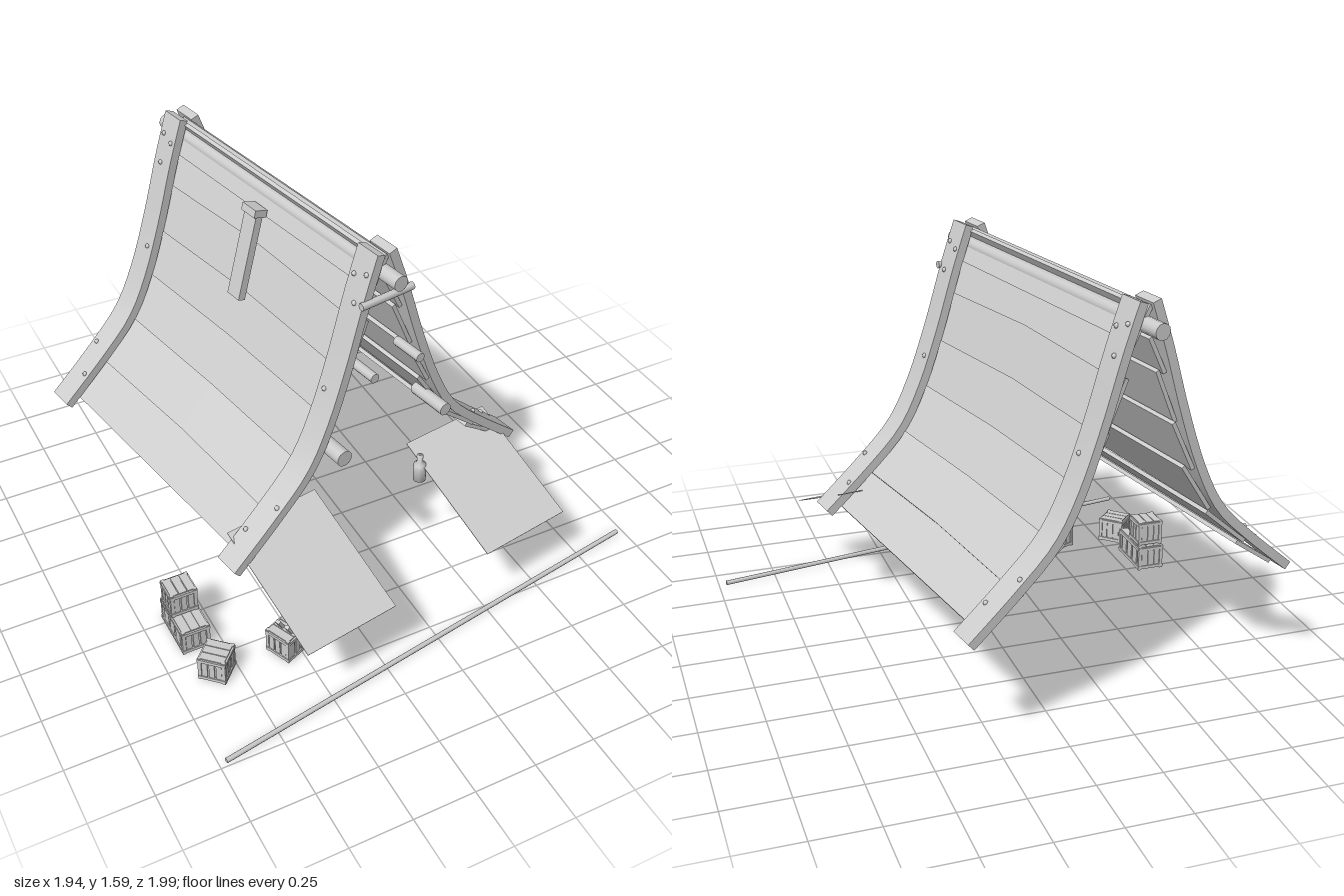
import * as THREE from 'three';
import { toCreasedNormals } from 'three/addons/utils/BufferGeometryUtils.js';

const grey = new THREE.MeshStandardMaterial({ color: 0xcccccc });
grey.name = 'plain grey';

function add(parent, name, geometry, x = 0, y = 0, z = 0) {
  const mesh = new THREE.Mesh(geometry, grey);
  mesh.name = name;
  mesh.position.set(x, y, z);
  parent.add(mesh);
  return mesh;
}
const box = (w, h, d) => new THREE.BoxGeometry(w, h, d);

// Outer line of one swept roof slope, from the ridge down to the eave
const slope = new THREE.SplineCurve([
  [0.042, 1.59], [0.105, 1.41], [0.18, 1.17], [0.262, 0.95], [0.355, 0.78], [0.5, 0.635], [0.685, 0.475],
].map(([x, y]) => new THREE.Vector2(x, y)));

// Point on the slope, sunk inwards by a depth
function slopeAt(t, depth) {
  const p = slope.getPoint(t), d = slope.getTangent(t);
  return new THREE.Vector2(p.x + d.y * depth, p.y - d.x * depth);
}
// Parameter of the slope at a height
function atHeight(y) {
  let a = 0, b = 1;
  for (let i = 0; i < 24; i++) {
    const m = (a + b) / 2;
    if (slope.getPoint(m).y > y) a = m; else b = m;
  }
  return a;
}

// Curved board that caps the end of a slope
function boardGeometry() {
  const outer = [], inner = [];
  for (let i = 0; i <= 20; i++) {
    outer.push(slopeAt(i / 20, 0));
    inner.unshift(slopeAt(i / 20, 0.035));
  }
  const g = new THREE.ExtrudeGeometry(new THREE.Shape([...outer, ...inner]), { depth: 0.11, bevelEnabled: false });
  g.translate(0, 0, -0.055);
  return toCreasedNormals(g, 0.5);
}

// Overlapping plank between two heights, its lower edge bowed in the middle
function addPlank(parent, top, bottom, z0, z1, bow) {
  const a = slopeAt(atHeight(top), 0.062), b = slopeAt(atHeight(bottom), 0.043);
  const dir = b.clone().sub(a), len = dir.length() + 0.015;
  const g = new THREE.BoxGeometry(len, 0.016, z1 - z0, 1, 1, 2);
  const pos = g.attributes.position;
  for (let i = 0; i < pos.count; i++) {
    if (pos.getX(i) > 0 && Math.abs(pos.getZ(i)) < 0.01) pos.setX(i, pos.getX(i) - bow);
  }
  g.computeVertexNormals();
  const m = add(parent, 'roofPlank', toCreasedNormals(g, 0.5), (a.x + b.x) / 2, (a.y + b.y) / 2, (z0 + z1) / 2);
  m.rotation.z = Math.atan2(dir.y, dir.x);
}

function makeSlope(name) {
  const side = new THREE.Group();
  side.name = name;
  const heights = [1.58, 1.46, 1.33, 1.14, 0.96, 0.785, 0.635, 0.515];
  const bows = [0, 0.02, 0.018, 0.012, 0.008, 0.012, 0];
  const ends = [0.63, 0.65, 0.64, 0.665, 0.64, 0.66, 0.645];
  bows.forEach((bow, i) => addPlank(side, heights[i], heights[i + 1], -ends[(i + 3) % 7], ends[i], bow));
  for (const s of [1, -1]) {
    add(side, 'edgeBoard', boardGeometry(), 0, 0, s * 0.627);
    // Nail heads along the edge board
    [[1.51, 0.03], [1.49, -0.03], [1.4, 0.01], [1.06, -0.02], [0.66, 0.03], [0.57, -0.03]].forEach(([y, dz]) => {
      const p = slopeAt(atHeight(y), 0);
      add(side, 'nailHead', new THREE.SphereGeometry(0.01, 8, 6), p.x, p.y, s * (0.627 + dz));
    });
  }
  return side;
}

// Slatted crate with corner posts, standing on its base
function makeCrate(name, w, h, d) {
  const crate = new THREE.Group();
  crate.name = name;
  add(crate, 'crateBody', box(w - 0.014, h - 0.008, d - 0.014), 0, h / 2, 0);
  for (const sx of [1, -1]) {
    for (const sz of [1, -1]) add(crate, 'cornerPost', box(0.014, h, 0.014), sx * (w / 2 - 0.007), h / 2, sz * (d / 2 - 0.007));
    for (const y of [0.012, h - 0.012]) {
      add(crate, 'sideRail', box(0.008, 0.014, d), sx * (w / 2 - 0.002), y, 0);
      add(crate, 'endRail', box(w, 0.014, 0.008), 0, y, sx * (d / 2 - 0.002));
    }
    for (let i = -1; i <= 1; i++) {
      add(crate, 'sideSlat', box(0.006, h - 0.01, d * 0.2), sx * (w / 2 - 0.005), h / 2, i * d * 0.26);
      add(crate, 'endSlat', box(w * 0.2, h - 0.01, 0.006), i * w * 0.26, h / 2, sx * (d / 2 - 0.005));
    }
  }
  for (let i = -1; i <= 1; i++) add(crate, 'lidSlat', box(w * 0.29, 0.006, d - 0.01), i * w * 0.32, h - 0.003, 0);
  return crate;
}

export function createModel() {
  const model = new THREE.Group();
  model.name = 'tentRoof';

  // Whole roof is turned a little about the vertical
  const roof = new THREE.Group();
  roof.name = 'roof';
  roof.position.set(-0.18, 0, -0.21);
  roof.rotation.y = 0.172;
  model.add(roof);

  const right = makeSlope('rightSlope'), left = makeSlope('leftSlope');
  left.rotation.y = Math.PI;
  roof.add(right, left);

  const ridge = add(roof, 'ridgePole', new THREE.CylinderGeometry(0.03, 0.03, 1.52, 12), 0, 1.5, 0);
  ridge.rotation.x = Math.PI / 2;
  const cross = add(roof, 'crossPeg', new THREE.CylinderGeometry(0.015, 0.015, 0.23, 8), 0, 1.41, 0.685);
  cross.rotation.z = Math.PI / 2;

  // Beam stubs under the front gable, awnings below it
  for (const s of [1, -1]) {
    for (const [x, y, r, z0] of [[0.238, 0.84, s > 0 ? 0.026 : 0.033, 0.58], [0.104, 1.14, 0.019, 0.62]]) {
      const stub = add(roof, 'beamStub', new THREE.CylinderGeometry(r, r, 0.755 - z0, 10), s * x, y, (0.755 + z0) / 2);
      stub.rotation.x = Math.PI / 2;
    }
    const awning = add(roof, 'awning', box(0.4, 0.003, Math.hypot(0.5, 0.22)), s * 0.426, 0.435, 0.8);
    awning.rotation.x = Math.atan2(0.22, 0.5);
  }

  // Patch board leaning on the left slope
  const patch = new THREE.Group();
  patch.name = 'patchBoard';
  patch.position.set(-0.135, 1.3, 0);
  patch.rotation.z = -0.28;
  add(patch, 'patchPlank', box(0.03, 0.37, 0.075));
  add(patch, 'patchCap', box(0.055, 0.03, 0.085), 0, 0.175, 0);
  roof.add(patch);

  // Long pole on the ground
  const pole = add(roof, 'groundPole', new THREE.CylinderGeometry(0.01, 0.01, 1.97, 8), 0, 0.01, 1.04);
  pole.rotation.z = Math.PI / 2;

  // Hanging bottle lantern
  const profile = [[0, 0], [0.026, 0], [0.028, 0.06], [0.025, 0.078], [0.012, 0.09], [0.014, 0.12], [0, 0.12]];
  add(model, 'lantern', new THREE.LatheGeometry(profile.map(([x, y]) => new THREE.Vector2(x, y)), 10), 0.15, 0.425, 0.38);

  // Crates
  [
    ['longCrate', 0.115, 0.22, -0.855, 0, 0.33, 0],
    ['topCrate', 0.11, 0.105, -0.857, 0.11, 0.29, 0],
    ['turnedCrate', 0.11, 0.11, -0.83, 0, 0.575, 0.8],
    ['openCrate', 0.115, 0.115, -0.542, 0, 0.59, 0.4],
  ].forEach(([name, w, d, x, y, z, turn]) => {
    const crate = makeCrate(name, w, 0.11, d);
    crate.position.set(x, y, z);
    crate.rotation.y = turn;
    model.add(crate);
    if (name === 'openCrate') {
      for (const i of [0, 1]) {
        const stick = add(crate, 'looseSlat', box(0.014, 0.07, 0.02), -0.01, 0.12, -0.02 + i * 0.045);
        stick.rotation.z = 0.5;
      }
    }
  });

  return model;
}
